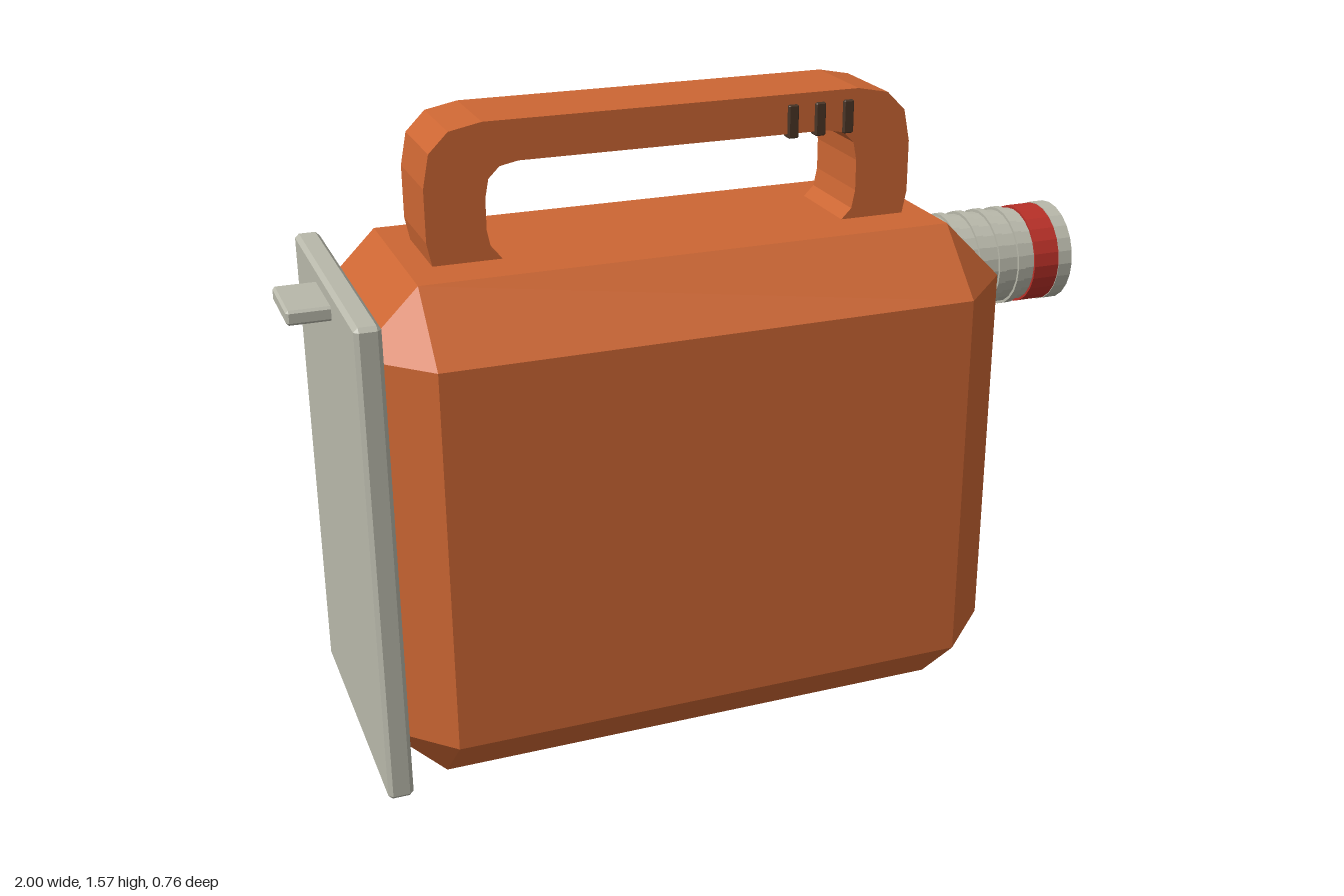
import * as THREE from 'three';
import { ConvexGeometry } from 'three/addons/geometries/ConvexGeometry.js';

const paint = (color) => new THREE.MeshStandardMaterial({ color, flatShading: true });

// Box with every edge cut by a flat chamfer c and a triangle at each corner
function chamferBox(w, h, d, c) {
  const pts = [];
  for (const sx of [-1, 1]) for (const sy of [-1, 1]) for (const sz of [-1, 1]) {
    const x = w / 2, y = h / 2, z = d / 2;
    pts.push(
      new THREE.Vector3(sx * x, sy * (y - c), sz * (z - c)),
      new THREE.Vector3(sx * (x - c), sy * y, sz * (z - c)),
      new THREE.Vector3(sx * (x - c), sy * (y - c), sz * z)
    );
  }
  return new ConvexGeometry(pts);
}

// Rounded rectangle outline
function roundedRect(path, x0, y0, x1, y1, r) {
  path.moveTo(x0 + r, y0);
  path.lineTo(x1 - r, y0);
  path.quadraticCurveTo(x1, y0, x1, y0 + r);
  path.lineTo(x1, y1 - r);
  path.quadraticCurveTo(x1, y1, x1 - r, y1);
  path.lineTo(x0 + r, y1);
  path.quadraticCurveTo(x0, y1, x0, y1 - r);
  path.lineTo(x0, y0 + r);
  path.quadraticCurveTo(x0, y0, x0 + r, y0);
  return path;
}

export function createModel() {
  const group = new THREE.Group();
  const orange = paint(0xcc6633);
  const metal = paint(0xb8b8aa);
  const red = paint(0xb83028);
  const dark = paint(0x4a3526);

  const add = (name, geometry, material, x = 0, y = 0, z = 0) => {
    const mesh = new THREE.Mesh(geometry, material);
    mesh.name = name;
    mesh.position.set(x, y, z);
    group.add(mesh);
    return mesh;
  };

  // Can body
  add('body', chamferBox(1.6, 1.245, 0.76, 0.15), orange, -0.08, 0.6225, 0);

  // Carrying handle, its lower bar sunk into the body
  const loop = roundedRect(new THREE.Shape(), -0.68, 1.16, 0.52, 1.565, 0.14);
  loop.holes.push(roundedRect(new THREE.Path(), -0.54, 1.235, 0.38, 1.47, 0.08));
  const handle = new THREE.ExtrudeGeometry(loop, { depth: 0.22, bevelEnabled: false, curveSegments: 3 });
  add('handle', handle, orange, 0, 0, -0.11);

  // Small grip ridges on the front of the handle
  for (const x of [0.21, 0.28, 0.353]) {
    add('gripRidge', chamferBox(0.026, 0.08, 0.03, 0.003), dark, x, 1.5, 0.104);
  }

  // Back plate and its tab
  add('endPlate', chamferBox(0.06, 1.175, 0.73, 0.01), metal, -0.87, 0.625, 0);
  add('plateTab', chamferBox(0.12, 0.035, 0.19, 0.006), metal, -0.94, 1.157, 0);

  // Ribbed spout, turned around the x axis
  const profile = [[0, 0.55], [0.12, 0.55]];
  for (const x of [0.69, 0.745, 0.8, 0.855]) {
    profile.push([0.12, x - 0.01], [0.127, x - 0.01], [0.127, x + 0.01], [0.12, x + 0.01]);
  }
  profile.push([0.12, 0.893], [0, 0.893]);
  const spout = new THREE.LatheGeometry(profile.map(([r, x]) => new THREE.Vector2(r, x)), 24);
  spout.rotateZ(-Math.PI / 2);
  add('spout', spout, metal, 0, 1.062, 0);

  // Red band and end cap
  const ring = (name, x0, x1, r, material) => {
    const g = new THREE.CylinderGeometry(r, r, x1 - x0, 24);
    g.rotateZ(-Math.PI / 2);
    add(name, g, material, (x0 + x1) / 2, 1.062, 0);
  };
  ring('spoutBand', 0.893, 0.962, 0.126, red);
  ring('spoutCap', 0.962, 1.0, 0.128, metal);

  return group;
}
